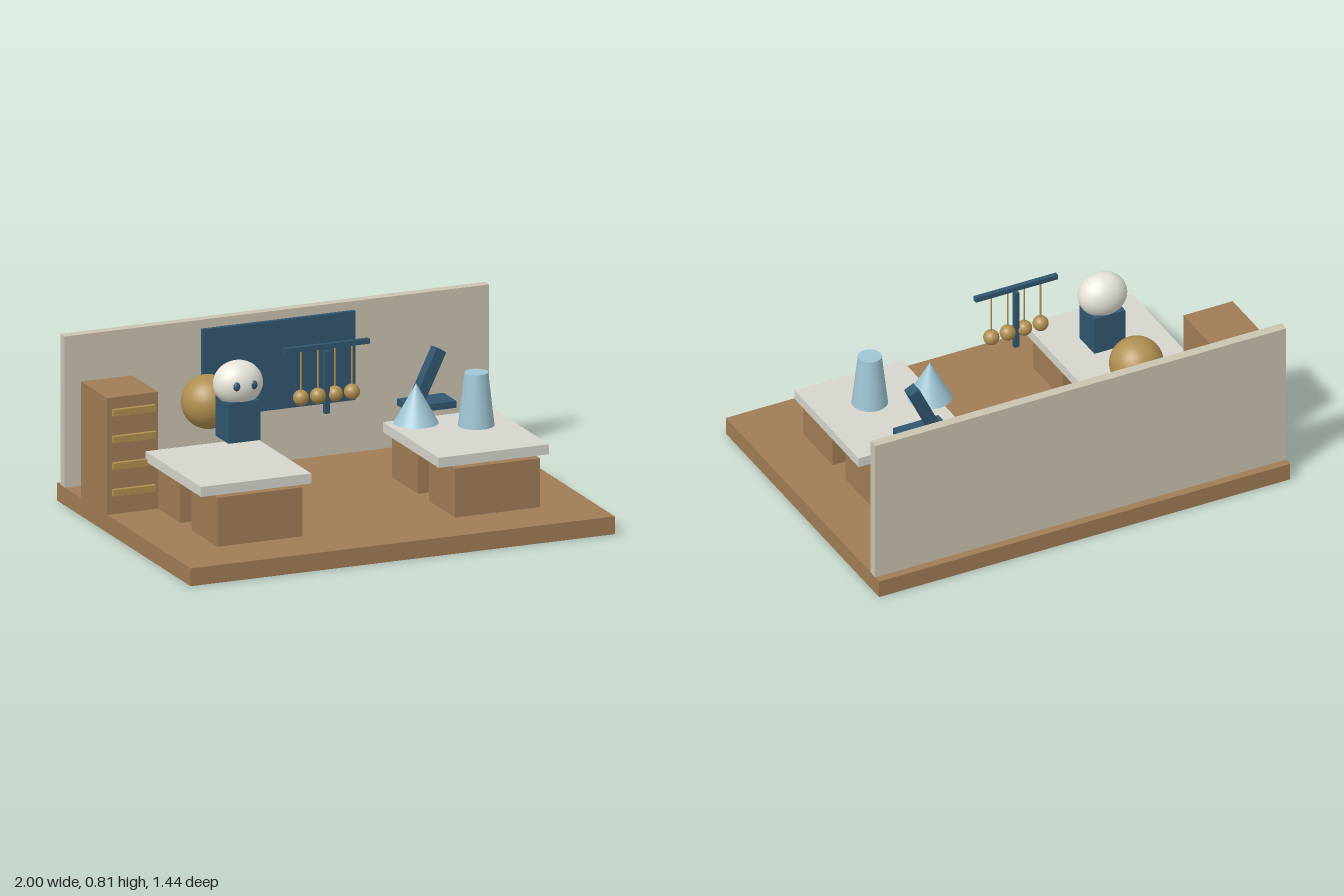
import * as THREE from 'three';

const mat = (color) => new THREE.MeshStandardMaterial({ color });

export function createModel() {
  const model = new THREE.Group();
  const wood = mat(0xa07c55), plaster = mat(0xcac3b1), navy = mat(0x32566f);
  const white = mat(0xd5d5cd), ivory = mat(0xe6e4da), sky = mat(0x9fc6d4), brass = mat(0xb08f50);

  const add = (name, geometry, material, x, y, z, parent = model) => {
    const mesh = new THREE.Mesh(geometry, material);
    mesh.name = name;
    mesh.position.set(x, y, z);
    parent.add(mesh);
    return mesh;
  };
  const box = (name, [w, h, d], material, x, y, z, parent) =>
    add(name, new THREE.BoxGeometry(w, h, d), material, x, y, z, parent);
  const ball = (name, r, material, x, y, z, parent) =>
    add(name, new THREE.SphereGeometry(r, 32, 20), material, x, y, z, parent);
  const group = (name) => {
    const g = new THREE.Group();
    g.name = name;
    model.add(g);
    return g;
  };

  // Room
  box('floor', [2, 0.08, 1.44], wood, 0, 0.04, 0);
  box('backWall', [2, 0.68, 0.045], plaster, 0, 0.42, -0.66);
  box('wallBoard', [0.72, 0.4, 0.02], navy, 0, 0.523, -0.62);

  // Two tables, each on a front and a rear block
  for (const side of [-1, 1]) {
    const table = group(side < 0 ? 'rightTable' : 'leftTable');
    const x = side * 0.56;
    box('tableTop', [0.52, 0.045, 0.6], white, x, 0.3225, 0.12, table);
    box('frontBlock', [0.4, 0.22, 0.28], wood, x, 0.19, 0.32, table);
    box('rearBlock', [0.4, 0.22, 0.28], wood, x, 0.19, -0.08, table);
  }

  // Drawer cabinet with four pulls
  const cabinet = group('cabinet');
  box('cabinetBody', [0.24, 0.525, 0.28], wood, -0.88, 0.3425, -0.32, cabinet);
  for (let i = 0; i < 4; i++) {
    box('drawerPull', [0.2, 0.03, 0.02], brass, -0.88, 0.18 + i * 0.12, -0.165, cabinet);
  }

  // Large ball behind the figure
  ball('largeBall', 0.119, brass, -0.48, 0.503, -0.28);

  // Figure: block body, oval head, two eyes
  const figure = group('figure');
  box('body', [0.15, 0.18, 0.14], navy, -0.48, 0.515, 0.04, figure);
  ball('head', 1, ivory, -0.48, 0.673, 0.04, figure).scale.set(0.112, 0.1, 0.09);
  for (const side of [-1, 1]) {
    ball('eye', 1, navy, -0.48 + side * 0.04, 0.68, 0.12, figure).scale.set(0.016, 0.02, 0.012);
  }

  // Hanging pendulum balls
  const pendulum = group('pendulum');
  box('topBar', [0.4, 0.022, 0.022], navy, -0.08, 0.803, 0.08, pendulum);
  box('post', [0.022, 0.28, 0.022], navy, -0.08, 0.64, 0.08, pendulum);
  for (let i = 0; i < 4; i++) {
    const x = -0.2 + i * 0.08;
    add('string', new THREE.CylinderGeometry(0.004, 0.004, 0.18, 8), brass, x, 0.705, 0.08, pendulum);
    ball('pendulumBall', 0.035, brass, x, 0.583, 0.08, pendulum);
  }

  // Objects over the left table
  add('cone', new THREE.ConeGeometry(0.098, 0.178, 32), sky, 0.36, 0.484, 0.04);
  add('taperedCup', new THREE.CylinderGeometry(0.052, 0.079, 0.238, 32), sky, 0.6, 0.502, 0.14);

  // Stand with a leaning arm
  const stand = group('leaningStand');
  box('standBase', [0.22, 0.03, 0.14], navy, 0.516, 0.4, -0.2, stand);
  box('standArm', [0.05, 0.24, 0.058], navy, 0.52, 0.529, -0.2, stand).rotation.z = -0.45;

  return model;
}
